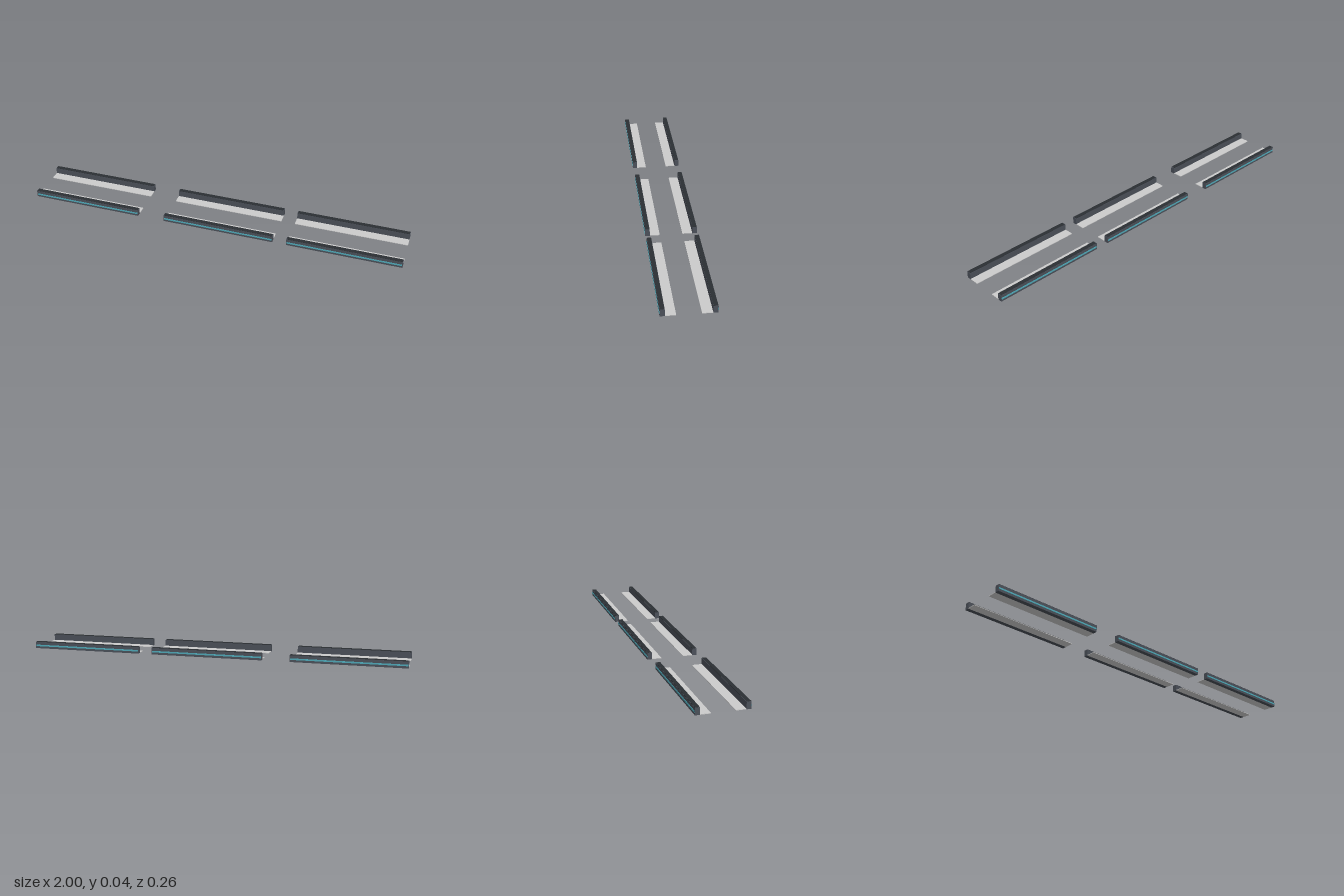
import * as THREE from 'three';

const LENGTH = 0.594;
const paint = (color) => new THREE.MeshStandardMaterial({ color });

export function createModel() {
  const model = new THREE.Group();
  model.name = 'barrierRails';
  const dark = paint(0x4a4f58);
  const black = paint(0x2b2f33);
  const teal = paint(0x4fa9b8);
  const grey = paint(0xcccccc);

  // Box given by its length and its y and z ranges
  function bar(name, length, y0, y1, z0, z1, material) {
    const mesh = new THREE.Mesh(new THREE.BoxGeometry(length, y1 - y0, z1 - z0), material);
    mesh.position.set(0, (y0 + y1) / 2, (z0 + z1) / 2);
    mesh.name = name;
    return mesh;
  }

  // One section: upright wall, top trim, light strip outside, floor plate inside
  function section() {
    const group = new THREE.Group();
    group.add(
      bar('wall', LENGTH, 0, 0.035, 0.107, 0.13, dark),
      bar('topTrim', LENGTH - 0.006, 0.035, 0.0365, 0.108, 0.129, black),
      bar('lightStrip', LENGTH - 0.006, 0.0115, 0.0195, 0.129, 0.132, teal),
      bar('floorPlate', LENGTH, 0, 0.003, 0.057, 0.107, grey),
    );
    return group;
  }

  // Three sections along each side, the back row turned to face outward
  for (const [i, x] of [-0.703, 0.036, 0.703].entries()) {
    for (const side of ['front', 'back']) {
      const part = section();
      part.name = `${side}Section${i + 1}`;
      part.position.x = x;
      if (side === 'back') part.rotation.y = Math.PI;
      model.add(part);
    }
  }
  return model;
}
